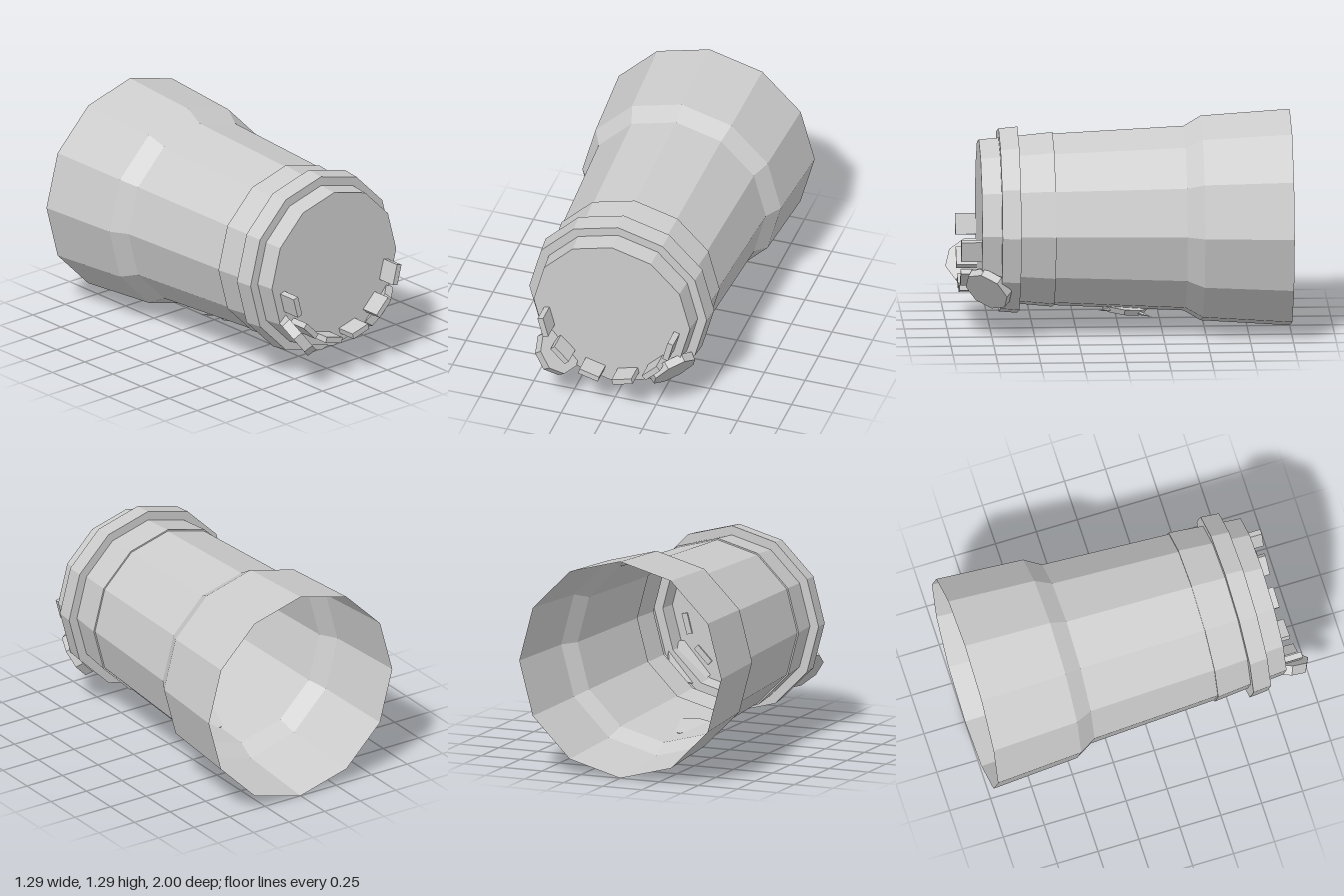
import * as THREE from 'three';

const AXIS_Y = 0.65; // height of the barrel's centre line

export function createModel() {
  const group = new THREE.Group();
  const solid = new THREE.MeshStandardMaterial({ color: 0xcccccc, flatShading: true });
  const shell = new THREE.MeshStandardMaterial({ color: 0xcccccc, flatShading: true, side: THREE.DoubleSide });

  const add = (name, geometry, material = solid) => {
    const mesh = new THREE.Mesh(geometry, material);
    mesh.name = name;
    group.add(mesh);
    return mesh;
  };

  // Twelve-sided shell, open at the back and closed at the front: [radius, z]
  const profile = [
    [0.645, -1], [0.61, -0.48], [0.55, -0.38], [0.511, 0.385], [0.52, 0.385],
    [0.5, 0.59], [0.555, 0.59], [0.545, 0.7], [0.49, 0.7], [0.48, 0.815], [0, 0.815],
  ].map(([r, z]) => new THREE.Vector2(r, z));
  const barrel = add('barrel', new THREE.LatheGeometry(profile, 12).rotateX(Math.PI / 2), shell);
  barrel.position.y = AXIS_Y;

  // Six tabs along the lower rim of the front face
  for (let i = 0; i < 6; i++) {
    const a = -THREE.MathUtils.degToRad(15 + 30 * i);
    const tab = add('frontTab', new THREE.BoxGeometry(0.035, 0.125, 0.13));
    tab.position.set(0.397 * Math.cos(a), AXIS_Y + 0.397 * Math.sin(a), 0.87);
    tab.rotation.z = a;
  }

  // Chunky eight-sided knobs on the lower corners, each facing its own way
  const addKnob = (name, position, normal, thickness) => {
    const knob = add(name, new THREE.CylinderGeometry(0.14, 0.145, thickness, 8));
    knob.position.set(...position);
    knob.quaternion.setFromUnitVectors(new THREE.Vector3(0, 1, 0), new THREE.Vector3(...normal).normalize());
  };
  addKnob('leftKnob', [0.36, 0.315, 0.775], [0.65, -0.57, 0.5], 0.05);
  addKnob('rightKnob', [-0.325, 0.335, 0.85], [-0.72, -0.6, -0.3], 0.06);

  // Tilted plate under the belly with four thin diagonal points
  const belly = new THREE.Group();
  belly.name = 'bellyPlate';
  belly.position.set(0, 0.117, -0.03);
  belly.rotation.x = -0.13;
  group.add(belly);
  const plate = new THREE.Mesh(new THREE.CylinderGeometry(0.14, 0.12, 0.035, 8), solid);
  plate.name = 'plate';
  belly.add(plate);
  for (let i = 0; i < 4; i++) {
    const spike = new THREE.Mesh(
      new THREE.ConeGeometry(0.012, 0.1, 4).rotateX(Math.PI / 2).translate(0, 0, 0.175), solid);
    spike.name = 'platePoint';
    spike.rotation.y = Math.PI / 4 + i * Math.PI / 2;
    belly.add(spike);
  }

  return group;
}
